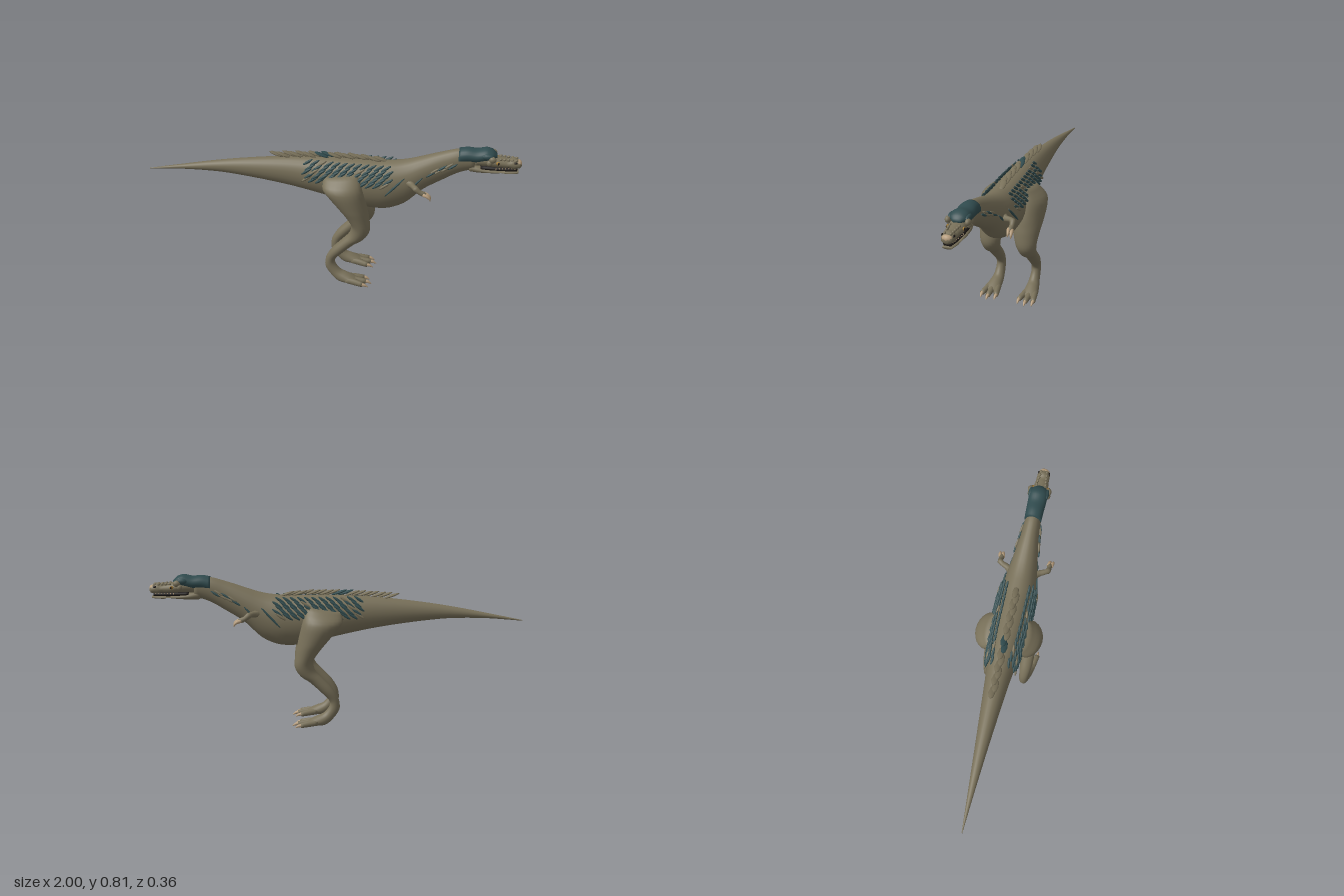
import * as THREE from 'three';

const paint = (name, color, side = THREE.FrontSide) => {
  const m = new THREE.MeshStandardMaterial({ color, side });
  m.name = name;
  return m;
};

export function createModel() {
  const hide = paint('olive hide', 0x787059);
  const teal = paint('dark teal', 0x304b4e);
  const horn = paint('tan horn', 0xb59c7c);
  const dark = paint('mouth black', 0x1d1917);
  const amber = paint('amber eye', 0xa07a35);
  const V = (x, y, z) => new THREE.Vector3(x, y, z);
  const root = new THREE.Group();
  root.name = 'theropod';

  const add = (name, geo, mat, parent = root) => {
    const m = new THREE.Mesh(geo, mat);
    m.name = name;
    parent.add(m);
    return m;
  };

  // Smooth closed skin over elliptical rings of centre c and half axes u, v
  function skin(rings, around = 20, steps = 4) {
    const curve = k => new THREE.CatmullRomCurve3(rings.map(r => r[k]));
    const [cc, cu, cv] = ['c', 'u', 'v'].map(curve);
    const n = (rings.length - 1) * steps, pos = [], idx = [];
    for (let i = -1; i <= n + 1; i++) {
      const t = Math.min(Math.max(i, 0), n) / n;
      const size = i < 0 || i > n ? 0.001 : 1;
      const c = cc.getPoint(t), u = cu.getPoint(t), v = cv.getPoint(t);
      for (let j = 0; j < around; j++) {
        const a = j / around * Math.PI * 2;
        const p = c.clone().addScaledVector(u, Math.cos(a) * size).addScaledVector(v, Math.sin(a) * size);
        pos.push(p.x, p.y, p.z);
      }
    }
    for (let i = 0; i < n + 2; i++) for (let j = 0; j < around; j++) {
      const a = i * around + j, b = i * around + (j + 1) % around;
      idx.push(a, b, a + around, b, b + around, a + around);
    }
    const g = new THREE.BufferGeometry();
    g.setAttribute('position', new THREE.Float32BufferAttribute(pos, 3));
    g.setIndex(idx);
    g.computeVertexNormals();
    return g;
  }
  // Rows: rear/bottom x, y, front/top x, y, centre z, half width
  const profile = (rows, side = 1, around = 24) => skin(rows.map(([bx, by, fx, fy, z, w]) => ({
    c: V((bx + fx) / 2, (by + fy) / 2, z * side), u: V((fx - bx) / 2, (fy - by) / 2, 0), v: V(0, 0, w),
  })), around);
  // Rows: x, bottom y, top y, half width
  const along = rows => profile(rows.map(([x, b, t, w]) => [x, b, x, t, 0, w]));
  // Round tapered limb through points x, y, z, radius
  function limb(rows, side = 1) {
    const pts = rows.map(r => V(r[0], r[1], r[2] * side));
    return skin(pts.map((c, i) => {
      const d = pts[Math.min(i + 1, pts.length - 1)].clone().sub(pts[Math.max(i - 1, 0)]).normalize();
      const v = V(0, 0, 1).addScaledVector(d, -d.z).normalize();
      const u = v.clone().cross(d);
      return { c, u: u.multiplyScalar(rows[i][3]), v: v.multiplyScalar(rows[i][3]) };
    }), 10, 3);
  }
  const ball = new THREE.SphereGeometry(1, 12, 8);
  const lump = (name, mat, x, y, z, rx, ry, rz, parent = root) => {
    const m = add(name, ball, mat, parent);
    m.position.set(x, y, z);
    m.scale.set(rx, ry, rz);
    return m;
  };

  // Tail, trunk and neck in one skin
  const trunk = [
    [-1, .553, .557, .002], [-.8, .569, .598, .016], [-.6, .57, .637, .031], [-.4, .55, .667, .047],
    [-.2, .52, .689, .064], [0, .478, .7, .088], [.1, .453, .7, .098], [.2, .43, .7, .102],
    [.3, .43, .702, .1], [.4, .468, .716, .085], [.5, .56, .746, .066], [.6, .622, .779, .05],
    [.68, .668, .8, .043], [.76, .695, .795, .038],
  ];
  add('body', along(trunk), hide);
  const bodyAt = x => {
    const i = Math.max(1, trunk.findIndex(r => r[0] >= x)), a = trunk[i - 1], b = trunk[i];
    return a.map((v, k) => THREE.MathUtils.lerp(v, b[k], (x - a[0]) / (b[0] - a[0])));
  };
  const flank = (x, y) => {
    const [, lo, hi, w] = bodyAt(x);
    return w * Math.sqrt(Math.max(.08, 1 - ((y - (lo + hi) / 2) / ((hi - lo) / 2)) ** 2));
  };

  // Head
  const head = new THREE.Group();
  head.name = 'head';
  root.add(head);
  add('crest', along([[.676, .72, .803, .046], [.72, .732, .81, .047], [.77, .735, .807, .049],
    [.815, .745, .816, .05], [.85, .76, .805, .042], [.872, .768, .785, .02]]), teal, head);
  add('upperJaw', along([[.76, .715, .785, .036], [.82, .717, .785, .043], [.87, .715, .773, .042],
    [.92, .714, .765, .035], [.97, .713, .764, .033], [.99, .716, .756, .027], [.999, .725, .745, .012]]), hide, head);
  add('lowerJaw', along([[.732, .68, .73, .03], [.78, .679, .72, .039], [.83, .682, .71, .04],
    [.88, .686, .704, .037], [.94, .685, .703, .033], [.985, .688, .702, .024]]), hide, head);
  add('mouth', along([[.79, .695, .728, .034], [.86, .697, .726, .035], [.93, .697, .724, .031], [.978, .698, .722, .022]]), dark, head);
  lump('snoutTip', horn, .978, .742, 0, .0225, .019, .029, head);
  for (const s of [1, -1]) {
    lump('browLobe', hide, .85, .772, s * .05, .02, .017, .015, head);
    lump('cheekLobe', hide, .835, .752, s * .05, .015, .016, .012, head);
    lump('crestFlare', teal, .825, .783, s * .043, .032, .016, .013, head);
    lump('eye', amber, .878, .75, s * .041, .01, .009, .006, head);
    lump('pupil', dark, .881, .75, s * .0455, .005, .007, .003, head);
    lump('nostril', dark, .968, .752, s * .029, .009, .006, .005, head);
    for (let i = 0; i < 5; i++)
      lump('snoutBump', hide, .89 + i * .02, .766 - i * .001, s * (.024 - i * .002), .009, .007, .007, head);
    for (let i = 0; i < 7; i++) {
      const tooth = add('tooth', new THREE.ConeGeometry(.0035, .013, 6), horn, head);
      tooth.position.set(.87 + i * .016, .712, s * (.034 - i * .002));
      tooth.rotation.x = Math.PI;
    }
  }

  // Legs, feet and arms
  const leg = [
    [-.02, .62, .16, .65, .07, .04], [-.025, .57, .185, .58, .106, .068], [.01, .52, .205, .5, .1, .08],
    [.06, .46, .215, .45, .096, .078], [.1, .41, .225, .4, .095, .07], [.13, .36, .23, .33, .1, .056],
    [.12, .31, .2, .28, .102, .046], [.075, .26, .15, .245, .104, .037], [.025, .205, .085, .185, .104, .033],
    [-.005, .15, .045, .14, .102, .026], [-.01, .1, .045, .115, .102, .025], [.015, .055, .075, .075, .102, .028],
    [.065, .01, .11, .06, .105, .036], [.12, .006, .14, .046, .107, .04], [.165, .006, .17, .03, .107, .034],
  ];
  for (const s of [1, -1]) {
    const side = s > 0 ? 'left' : 'right';
    add(side + 'Leg', profile(leg, s), hide);
    for (const [z0, z1, x] of [[.085, .066, .2], [.107, .107, .215], [.128, .146, .2]]) {
      add(side + 'Toe', limb([[.11, .027, z0, .018], [.16, .021, (z0 + z1) / 2, .017], [x, .015, z1, .0135]], s), hide);
      add(side + 'ToeClaw', limb([[x - .01, .017, z1, .01], [x + .012, .013, z1, .008], [x + .03, .003, z1, .002]], s), horn);
    }
    add(side + 'Arm', limb([[.42, .615, .06, .022], [.445, .612, .085, .017], [.458, .616, .115, .014],
      [.468, .615, .13, .016], [.488, .6, .133, .013], [.508, .59, .132, .014], [.522, .586, .132, .009]], s), hide);
    for (const [dz, dy] of [[-.008, 0], [.009, -.004]])
      add(side + 'HandClaw', limb([[.508, .592 + dy, .132 + dz, .009], [.528, .587 + dy, .136 + dz, .009],
        [.543, .575 + dy, .138 + dz, .006], [.547, .562 + dy, .138 + dz, .0015]], s), horn);
  }

  // Long flat scales on the flanks, neck and spine
  const leaf = new THREE.SphereGeometry(1, 8, 6);
  const scale = (name, mat, x, y, z, angle, yaw, len, wide, thick) => {
    const m = add(name, leaf, mat);
    m.position.set(x, y, z);
    m.rotation.set(0, yaw, angle, 'YXZ');
    m.scale.set(len, wide, thick);
  };
  for (const s of [1, -1]) {
    for (let row = 0; row < 5; row++) for (let i = 0; i < 12; i++) {
      const x = -.115 + i * .038 + (row % 2) * .016, y = .603 + row * .0195;
      scale('flankScale', (i * 5 + row * 3) % 11 === 0 ? hide : teal,
        x, y, s * (flank(x, y) + .007), .6, s * .1, .034, .0075, .007);
    }
    scale('shoulderStripe', teal, .355, .595, s * (flank(.355, .595) + .001), .8, s * .17, .075, .006, .006);
    scale('shoulderStripe', teal, .47, .622, s * (flank(.47, .622) + .001), .8, s * .2, .04, .005, .005);
    for (let i = 0; i < 7; i++) {
      const x = .54 + i * .018, y = .672 + i * .0075 + (i % 2) * .012;
      scale('neckScale', i % 3 ? hide : teal, x, y, s * (flank(x, y) + .004), .55, s * .2, .03, .006, .006);
    }
  }
  for (let i = 0; i < 17; i++) {
    const x = -.29 + i * .035, y = bodyAt(x)[2] + .015 - Math.max(0, i - 13) * .003;
    scale('spineScale', i === 7 || i === 8 ? teal : hide, x, y, (i % 2 - .5) * .01, -.32, 0, .043, .007, .017);
  }
  return root;
}
